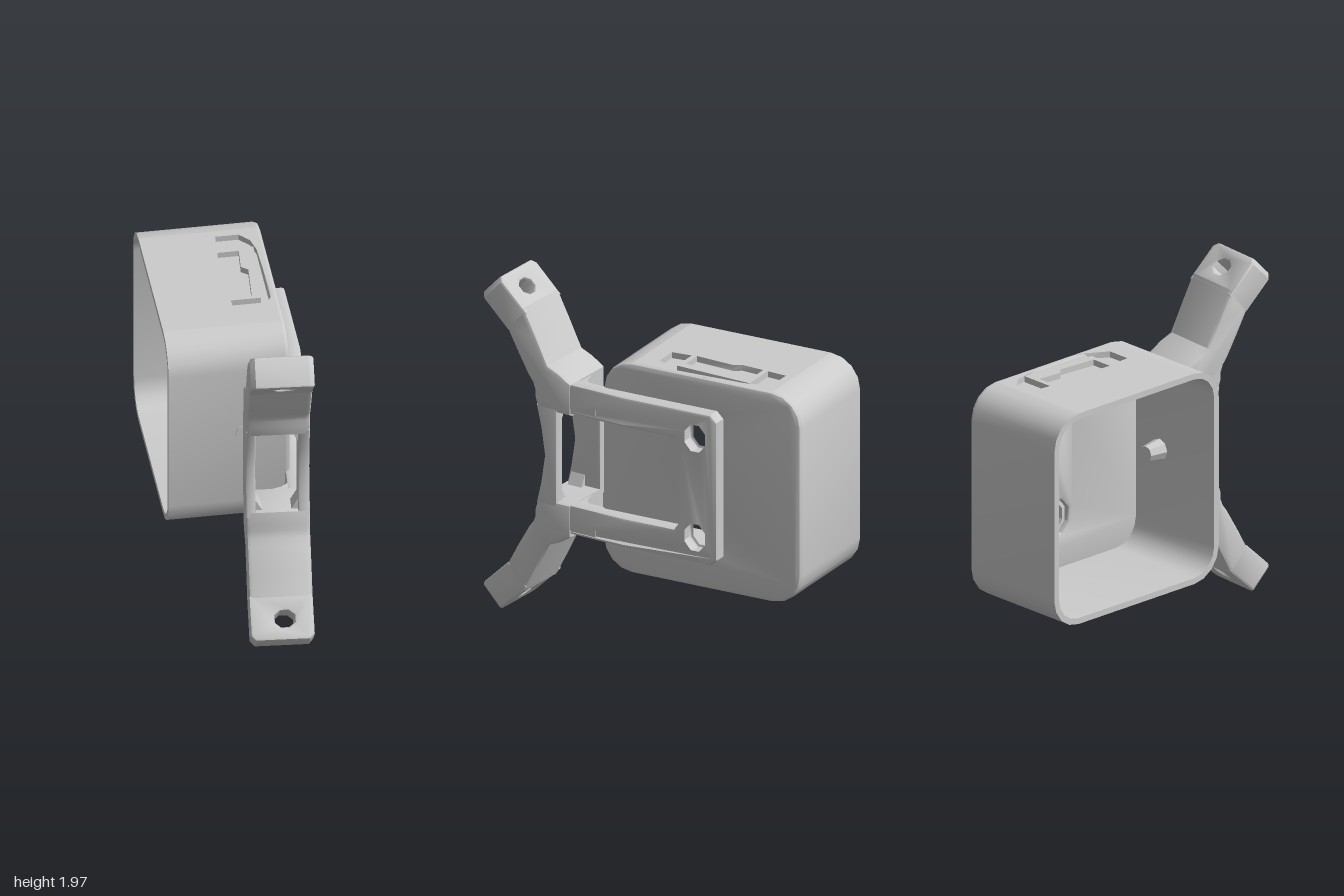
import * as THREE from 'three';
import { toCreasedNormals } from 'three/addons/utils/BufferGeometryUtils.js';

const material = new THREE.MeshStandardMaterial({ color: 0xcccccc, side: THREE.DoubleSide });

function add(parent, name, geometry) {
  const mesh = new THREE.Mesh(toCreasedNormals(geometry, 0.7), material);
  mesh.name = name;
  parent.add(mesh);
  return mesh;
}

const toShape = (points, Type = THREE.Shape) => new Type(points.map(([a, b]) => new THREE.Vector2(a, b)));

function extrude(points, holes, depth, bevel = 0) {
  const shape = toShape(points);
  shape.holes = holes.map((h) => toShape(h, THREE.Path));
  return new THREE.ExtrudeGeometry(shape, {
    depth: depth - 2 * bevel, bevelEnabled: bevel > 0, bevelSize: bevel,
    bevelThickness: bevel, bevelOffset: -bevel, bevelSegments: 2,
  }).translate(0, 0, bevel);
}

// Side profile of (z, y) points, extruded from x0 to x1
function sideExtrude(points, holes, x0, x1, bevel) {
  const flip = (list) => list.map(([z, y]) => [-z, y]);
  return extrude(flip(points), holes.map(flip), x1 - x0, bevel).rotateY(Math.PI / 2).translate(x0, 0, 0);
}

// Plan outline of (x, z) points, extruded from y0 to y1
function planExtrude(points, holes, y0, y1) {
  const flip = (list) => list.map(([x, z]) => [x, -z]);
  return extrude(flip(points), holes.map(flip), y1 - y0).rotateX(-Math.PI / 2).translate(0, y0, 0);
}

// Rounded square outline, starting and ending at the two ends of its top edge
function roundedSquare(half, r, steps = 4) {
  const points = [];
  [[1, 1], [1, -1], [-1, -1], [-1, 1]].forEach(([sz, sy], corner) => {
    for (let i = 0; i <= steps; i++) {
      const a = Math.PI / 2 - (corner + i / steps) * Math.PI / 2;
      points.push([sz * (half - r) + r * Math.cos(a), sy * (half - r) + r * Math.sin(a)]);
    }
  });
  return points;
}

const octagon = (cz, cy, rz, ry) => Array.from({ length: 8 }, (_, i) => {
  const a = (i + 0.5) * Math.PI / 4;
  return [cz + rz * Math.cos(a), cy + ry * Math.sin(a)];
});

const rect = (a0, b0, a1, b1) => [[a0, b0], [a1, b0], [a1, b1], [a0, b1]];

export function createModel() {
  const model = new THREE.Group();
  const mirrorY = (points) => points.map(([z, y]) => [z, 1.97 - y]);

  // Open housing, turned slightly about the vertical
  const TURN = 0.08;
  const housing = new THREE.Group();
  housing.name = 'housing';
  housing.position.set(-0.04, 0.99, -0.35);
  housing.rotation.y = TURN;
  model.add(housing);

  const H = 0.625, R = 0.185, T = 0.035;
  const outer = roundedSquare(H, R), inner = roundedSquare(H - T, R - T);
  const boltHoles = [0.295, -0.295].map((y) => octagon(-0.005, y, 0.09, 0.105));

  add(housing, 'housingWalls', sideExtrude([...outer, ...inner.reverse()], [], -0.34, 0.315));
  add(housing, 'housingSideWall', sideExtrude(outer, boltHoles, 0.29, 0.342, 0.024));

  // Top wall with a hooked slot around a shorter one, both square to the bracket
  const unturn = (points) => points.map(([x, z]) => [x - TURN * z, z]);
  const hookSlot = unturn([[0.05, -0.39], [0.18, -0.39], [0.24, -0.33], [0.27, -0.24], [0.32, -0.02],
    [0.32, 0.2], [0.25, 0.33], [0.11, 0.33], [0.09, 0.21], [0.26, 0.21], [0.255, -0.27], [0.05, -0.27]]);
  const innerSlot = unturn([[0.05, -0.24], [0.17, -0.24], [0.17, -0.09], [0.21, -0.06],
    [0.21, 0.18], [0.08, 0.18], [0.08, -0.06], [0.05, -0.1]]);
  const flat = H - R;
  add(housing, 'housingTop', planExtrude(rect(-0.34, -flat, 0.315, flat), [hookSlot, innerSlot], H - T, H));
  add(housing, 'slotFloor', planExtrude(rect(0.04, -0.41, 0.312, 0.35), [], H - T - 0.012, H - T));

  // Stud through the front wall
  const stud = add(housing, 'stud', new THREE.CylinderGeometry(0.045, 0.07, 0.15, 8).rotateX(-Math.PI / 2));
  stud.position.set(0.1, 0.01, 0.56);

  // Fork plate lying on the housing's side: two rails and a crossbar
  const fork = [[0.86, 0.45], [0.45, 0.45], [-0.1, 0.45], [-0.14, 0.41], [-0.14, -0.41], [-0.1, -0.445],
    [0.45, -0.445], [0.86, -0.445], [0.86, -0.27], [0.45, -0.27], [0.13, -0.27], [0.1, -0.23],
    [0.1, 0.23], [0.13, 0.27], [0.45, 0.27], [0.86, 0.27]];
  const plate = sideExtrude(fork, boltHoles, 0.325, 0.424, 0.018);
  // Bend the rails parallel to the bracket where they leave the housing
  const pos = plate.attributes.position;
  for (let i = 0; i < pos.count; i++) {
    pos.setX(i, pos.getX(i) - TURN * Math.max(0, pos.getZ(i) - 0.45));
  }
  add(housing, 'forkPlate', plate);

  // Front bracket: two swept arms joined by the strips beside a tall slot
  const bracket = new THREE.Group();
  bracket.name = 'bracket';
  model.add(bracket);
  const X0 = 0.075, X1 = 0.43, XC = (X0 + X1) / 2;

  // Arm profile, with a shallow groove across its root
  const arm = [[0.41, 1.25], [0.41, 1.44], [0.49, 1.49], [0.56, 1.52], [0.64, 1.68], [0.72, 1.83],
    [0.84, 1.7], [0.77, 1.57], [0.695, 1.44], [0.665, 1.4], [0.65, 1.36], [0.65, 1.32], [0.628, 1.25]];
  const fillet = [[0.18, 0.42], [0.29, 0.385], [0.34, 0.34], [0.345, 0.25], [0.415, 0.25], [0.415, 0.45]];

  [false, true].forEach((lower) => {
    const prefix = lower ? 'lower' : 'upper';
    add(bracket, prefix + 'Arm', sideExtrude(lower ? mirrorY(arm) : arm, [], X0, X1, 0.025));

    // Arm tip with a screw hole through its thickness
    const tip = add(bracket, prefix + 'Tip', extrude(
      [[-0.177, -0.135], [0.177, -0.135], [0.177, 0.09], [0.15, 0.12], [-0.15, 0.12], [-0.177, 0.09]],
      [octagon(0.015, 0.0, 0.06, 0.05)], 0.178, 0.015).translate(0, 0, -0.089));
    const tilt = 0.81;
    tip.position.set(XC, lower ? 0.139 : 1.831, 0.859);
    tip.rotation.x = lower ? Math.PI - tilt : tilt;

    // Fillet where the rail meets the arm
    const [y0, y1] = lower ? [0.555, 0.715] : [1.265, 1.43];
    add(bracket, prefix + 'Fillet', planExtrude(fillet, [], y0, y1));
  });

  // Strips on each side of the slot
  const strip = (back) => [[back, 1.28], [0.635, 1.28], [0.605, 1.15], [0.58, 0.985],
    [0.605, 0.82], [0.635, 0.69], [back, 0.69]];
  add(bracket, 'innerStrip', sideExtrude(strip(0.41), [], X0, 0.13, 0.012));
  add(bracket, 'outerStrip', sideExtrude(strip(0.5), [], 0.365, X1, 0.012));

  // Corner gussets of the slot
  [[0.125, 1], [0.37, -1]].forEach(([x, dir]) => [[1.265, -1], [0.705, 1]].forEach(([y, up]) => {
    const gusset = [[x, y], [x + dir * 0.05, y], [x, y + up * 0.09]];
    add(bracket, 'slotGusset', extrude(gusset, [], 0.09).translate(0, 0, 0.51));
  }));

  return model;
}
